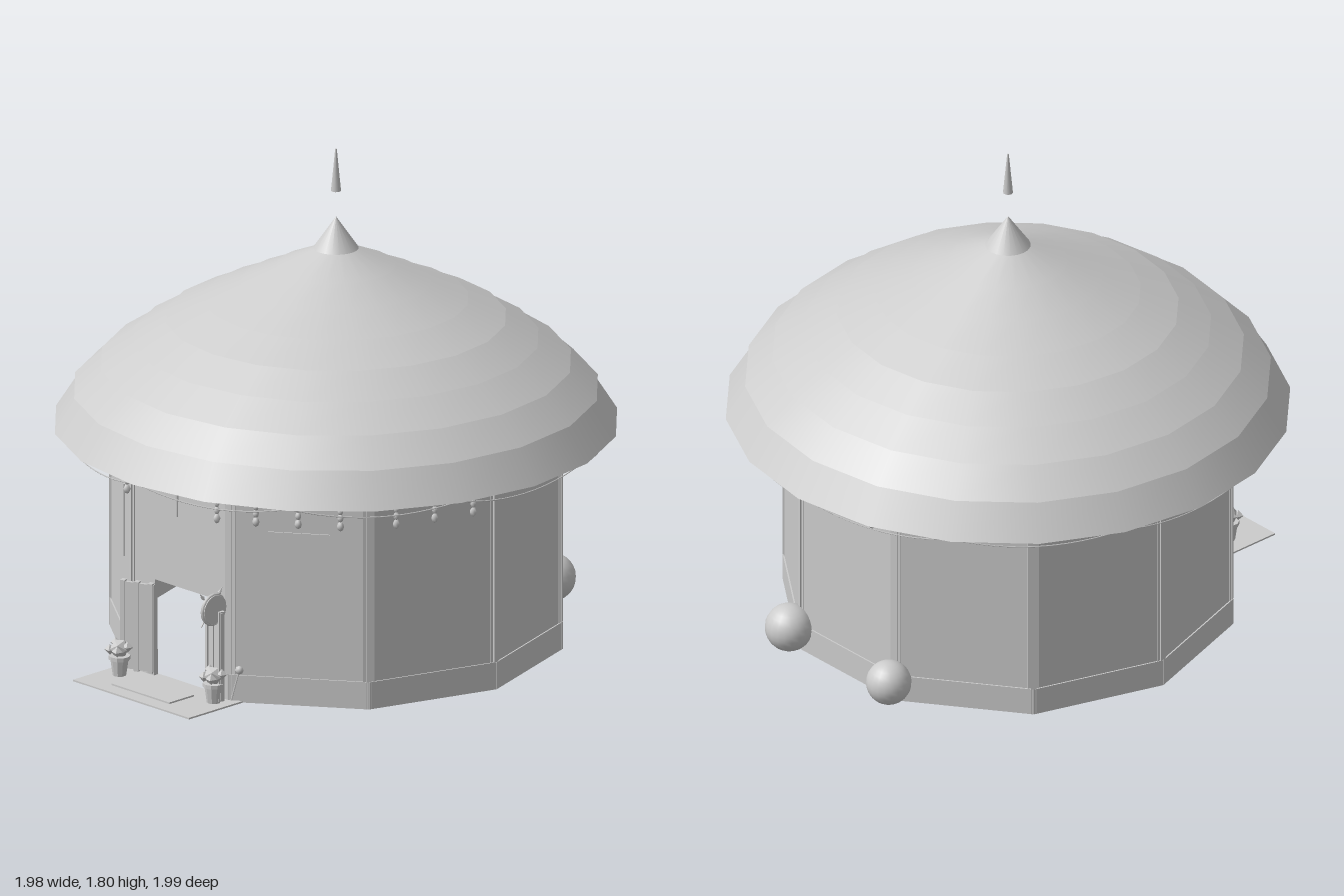
import * as THREE from 'three';

export function createModel() {
  const model = new THREE.Group();
  model.name = 'roundHut';
  const stone = new THREE.MeshStandardMaterial({ color: 0xcccccc, side: THREE.DoubleSide });
  stone.name = 'pale grey';

  const rad = THREE.MathUtils.degToRad;
  const R = 0.8, APO = R * Math.cos(rad(18)), WIDTH = 2 * R * Math.sin(rad(18)), H = 0.8;
  const DOOR_L = -0.126, DOOR_R = 0.145, DOOR_H = 0.36;

  function add(parent, name, geometry, x = 0, y = 0, z = 0) {
    const mesh = new THREE.Mesh(geometry, stone);
    mesh.name = name;
    mesh.position.set(x, y, z);
    parent.add(mesh);
    return mesh;
  }
  const box = (w, h, d) => new THREE.BoxGeometry(w, h, d);
  const bead = (r, sy) => new THREE.OctahedronGeometry(r, 1).scale(1, sy, 1);

  // Group turned so its +z points outwards at the given angle
  function facing(name, degrees) {
    const g = new THREE.Group();
    g.name = name;
    g.rotation.y = rad(degrees);
    model.add(g);
    return g;
  }

  // Hanging string of beads
  function strand(parent, x, z) {
    const g = new THREE.Group();
    g.name = 'beadStrand';
    g.position.set(x, 0, z);
    parent.add(g);
    add(g, 'string', new THREE.CylinderGeometry(0.002, 0.002, 0.13, 4), 0, 0.735, 0);
    [[0.775, 0.009], [0.73, 0.01], [0.705, 0.011], [0.675, 0.013]].forEach(([y, r]) =>
      add(g, 'bead', bead(r, 1.4), 0, y, 0));
  }

  // Ten wall panels with corner posts; panel 0 holds the doorway
  const windows = [1, 9], strands = [1, 2, 5];
  let doorSide;
  for (let i = 0; i < 10; i++) {
    const g = facing('wallPanel', -32 + i * 36);
    if (i === 0) {
      doorSide = g;
      const s = new THREE.Shape();
      [[-WIDTH / 2, 0], [DOOR_L, 0], [DOOR_L, DOOR_H], [DOOR_R, DOOR_H], [DOOR_R, 0],
        [WIDTH / 2, 0], [WIDTH / 2, H], [-WIDTH / 2, H]].forEach(([x, y], k) =>
        k ? s.lineTo(x, y) : s.moveTo(x, y));
      add(g, 'doorWall', new THREE.ExtrudeGeometry(s, { depth: 0.012, bevelEnabled: false }), 0, 0, APO - 0.012);
      [[-WIDTH / 2, DOOR_L], [DOOR_R, WIDTH / 2]].forEach(([a, b]) =>
        add(g, 'plinth', box(b - a, 0.1, 0.02), (a + b) / 2, 0.05, APO - 0.005));
    } else {
      add(g, 'wall', box(WIDTH, H, 0.012), 0, H / 2, APO - 0.006);
      add(g, 'plinth', box(WIDTH, 0.1, 0.02), 0, 0.05, APO - 0.005);
    }
    if (windows.includes(i)) add(g, 'window', box(0.22, 0.265, 0.006), 0, 0.503, APO + 0.002);
    if (strands.includes(i)) [-0.15, 0, 0.15].forEach(x => strand(g, x, APO + 0.02));
    const corner = facing('wallCorner', -14 + i * 36);
    add(corner, 'post', box(0.04, H, 0.018), 0, H / 2, R - 0.012);
    add(corner, 'postRidge', box(0.018, H, 0.014), 0, H / 2, R - 0.004);
  }

  // Stepped roof: overlapping cone tiers, each rim just outside the one below
  const rims = [[0.993, 0.795], [0.925, 0.922], [0.83, 1.02], [0.715, 1.105], [0.6, 1.182],
    [0.467, 1.25], [0.335, 1.313], [0.21, 1.373], [0.08, 1.435]];
  const roof = facing('roof', 4);
  for (let i = 0; i < rims.length - 1; i++) {
    const [r0, y0] = rims[i], [r1, y1] = rims[i + 1];
    const top = r1 - 0.013;
    add(roof, 'roofTier', new THREE.CylinderGeometry(top, r0, y1 - y0, 20, 1, true), 0, (y0 + y1) / 2, 0);
    add(roof, 'roofLip', new THREE.RingGeometry(top - 0.002, r1, 20).rotateX(Math.PI / 2).rotateY(Math.PI / 2), 0, y1, 0);
  }
  add(roof, 'roofCap', new THREE.ConeGeometry(0.08, 0.115, 20), 0, 1.4925, 0);
  add(roof, 'soffit', new THREE.CylinderGeometry(0.985, 0.985, 0.004, 20), 0, 0.8, 0);
  add(roof, 'finial', new THREE.CylinderGeometry(0.003, 0.018, 0.155, 8), 0, 1.7225, 0);

  // Rope swags below the eaves
  for (let i = 0; i < 10; i++) {
    const pts = [];
    for (let k = 0; k <= 8; k++) {
      const t = k / 8, a = rad(4 + 36 * (i + t)), sag = 4 * t * (1 - t);
      const r = 0.975 - 0.03 * sag;
      pts.push(new THREE.Vector3(r * Math.sin(a), 0.795 - 0.038 * sag, r * Math.cos(a)));
    }
    add(model, 'swag', new THREE.TubeGeometry(new THREE.CatmullRomCurve3(pts), 12, 0.0025, 4));
  }

  // Entrance mat
  add(doorSide, 'doorstep', box(0.58, 0.006, 0.26), 0, 0.003, 0.87);
  add(doorSide, 'mat', box(0.29, 0.006, 0.12), -0.01, 0.009, 0.885);

  // Door leaves swung open, each with raised slats
  [[DOOR_L, -1], [DOOR_R, 1]].forEach(([x, side]) => {
    const leaf = new THREE.Group();
    leaf.name = 'doorLeaf';
    leaf.position.set(x, 0, APO);
    leaf.rotation.y = side * -rad(21);
    doorSide.add(leaf);
    add(leaf, 'leaf', box(0.13, 0.32, 0.012), side * 0.065, 0.18, 0.006);
    [0.012, 0.065, 0.118].forEach(d => add(leaf, 'slat', box(0.018, 0.33, 0.022), side * d, 0.18, 0.006));
    strand(doorSide, side * 0.225 - 0.01, APO + 0.03);
  });

  // Hanging chime over the doorway
  add(doorSide, 'chime', new THREE.CylinderGeometry(0.006, 0.003, 0.12, 6), 0, 0.685, APO + 0.015);

  // Shield with two crossed spears
  const shield = new THREE.Group();
  shield.name = 'shieldAndSpears';
  shield.position.set(0.243, 0.355, 0.833);
  shield.rotation.y = Math.PI / 2;
  doorSide.add(shield);
  add(shield, 'shield', new THREE.CylinderGeometry(0.052, 0.058, 0.014, 16).rotateX(Math.PI / 2));
  add(shield, 'shieldRim', new THREE.TorusGeometry(0.055, 0.005, 6, 16));
  [-1, 1].forEach(s => {
    const spear = add(shield, 'spear', new THREE.CylinderGeometry(0.003, 0.003, 0.15, 5), 0, 0, -0.014);
    spear.rotation.z = s * 0.7;
    const tip = add(shield, 'spearTip', new THREE.ConeGeometry(0.008, 0.025, 5), -s * 0.047, 0.057, -0.014);
    tip.rotation.z = s * 0.7;
  });

  // Potted plants beside the doorway
  const potProfile = [[0, 0], [0.024, 0], [0.032, 0.058], [0.038, 0.058], [0.038, 0.072], [0, 0.072]]
    .map(p => new THREE.Vector2(...p));
  [[-0.63, 0.61], [-0.24, 0.82]].forEach(([x, z]) => {
    const pot = new THREE.Group();
    pot.name = 'pottedPlant';
    pot.position.set(x, 0.008, z);
    model.add(pot);
    add(pot, 'pot', new THREE.LatheGeometry(potProfile, 10).toNonIndexed()).geometry.computeVertexNormals();
    add(pot, 'foliage', new THREE.IcosahedronGeometry(0.036, 0), 0, 0.098, 0);
    for (let k = 0; k < 5; k++) {
      const a = k * 1.257;
      add(pot, 'leafTuft', new THREE.OctahedronGeometry(0.02), 0.034 * Math.sin(a), 0.095 + 0.014 * (k % 2), 0.034 * Math.cos(a));
    }
  });

  // Small sprig at the doorway corner
  const sprig = add(model, 'sprigStem', new THREE.CylinderGeometry(0.003, 0.003, 0.11, 5), -0.165, 0.07, 0.81);
  sprig.rotation.z = -0.25;
  add(model, 'sprigBud', bead(0.016, 1), -0.15, 0.13, 0.81);

  // Beaded vines inside, on both sides of the doorway
  [[-0.26, -0.17], [0.17, 0.23]].forEach(([x0, x1]) => {
    const a = new THREE.Vector3(x0, 0.62, 0.725), b = new THREE.Vector3(x1, 0.22, 0.725);
    add(doorSide, 'innerVine', new THREE.TubeGeometry(new THREE.LineCurve3(a, b), 1, 0.003, 4));
    for (let k = 0; k < 6; k++) {
      const p = a.clone().lerp(b, k / 5);
      add(doorSide, 'innerBead', bead(0.014, 1.2), p.x, p.y, p.z);
    }
  });

  // Boulders at the two rear corners
  [[130, 0.086, 0.84], [166, 0.08, 0.845]].forEach(([deg, r, d]) =>
    add(facing('boulderSpot', deg), 'boulder', new THREE.SphereGeometry(r, 20, 14), 0, 0.093, d));

  return model;
}
